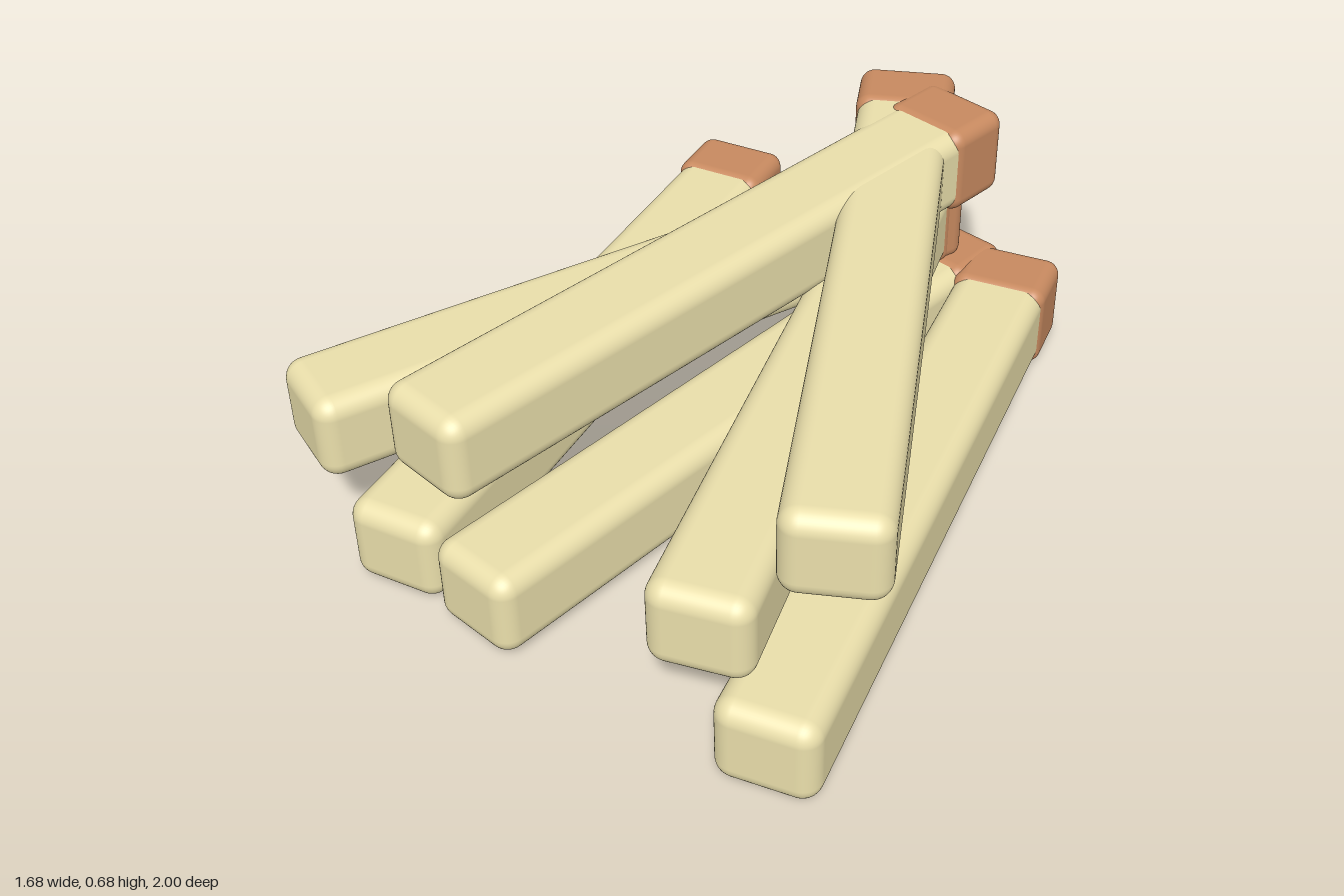
import * as THREE from 'three';
import { RoundedBoxGeometry } from 'three/addons/geometries/RoundedBoxGeometry.js';

const cream = new THREE.MeshStandardMaterial({ color: 0xeadfab });
const brown = new THREE.MeshStandardMaterial({ color: 0xc88a60 });

const WIDTH = 0.255, HEIGHT = 0.235, CAP_LENGTH = 0.21, LIP = 0.006;

// One stick lying from its plain foot to its browned tip
function createStick(name, y, foot, tip) {
  const dx = foot[0] - tip[0], dz = foot[1] - tip[1];
  const length = Math.hypot(dx, dz);
  const stick = new THREE.Group();
  stick.name = name;

  const body = new THREE.Mesh(new RoundedBoxGeometry(WIDTH, HEIGHT, length - 0.02, 5, 0.05), cream);
  body.name = 'stickBody';
  body.position.z = 0.01;

  // The browned tip is a slightly larger sleeve over the end
  const cap = new THREE.Mesh(
    new RoundedBoxGeometry(WIDTH + 2 * LIP, HEIGHT + 2 * LIP, CAP_LENGTH, 5, 0.04), brown);
  cap.name = 'brownedTip';
  cap.position.z = -length / 2 + CAP_LENGTH / 2;

  stick.add(body, cap);
  stick.position.set((foot[0] + tip[0]) / 2, y, (foot[1] + tip[1]) / 2);
  stick.rotation.y = Math.atan2(dx, dz);
  return stick;
}

export function createModel() {
  const model = new THREE.Group();
  model.name = 'stickPile';
  // name, centre height, foot [x, z], tip [x, z]
  const sticks = [
    ['bottomRightStick', 0.125, [-0.385, 0.975], [-0.72, -0.915]],
    ['bottomMiddleStick', 0.126, [-0.125, 0.985], [0.08, -0.915]],
    ['bottomLeftStick', 0.124, [0.71, 0.96], [0.25, -0.905]],
    ['middleRightStick', 0.352, [-0.705, 0.92], [0.01, -0.855]],
    ['middleLeftStick', 0.35, [0.515, 0.935], [-0.07, -0.875]],
    ['topLeftStick', 0.55, [0.74, 0.745], [-0.17, -0.955]],
    ['topRightStick', 0.553, [-0.225, 0.987], [0.05, -0.915]],
  ];
  for (const s of sticks) model.add(createStick(...s));
  return model;
}
